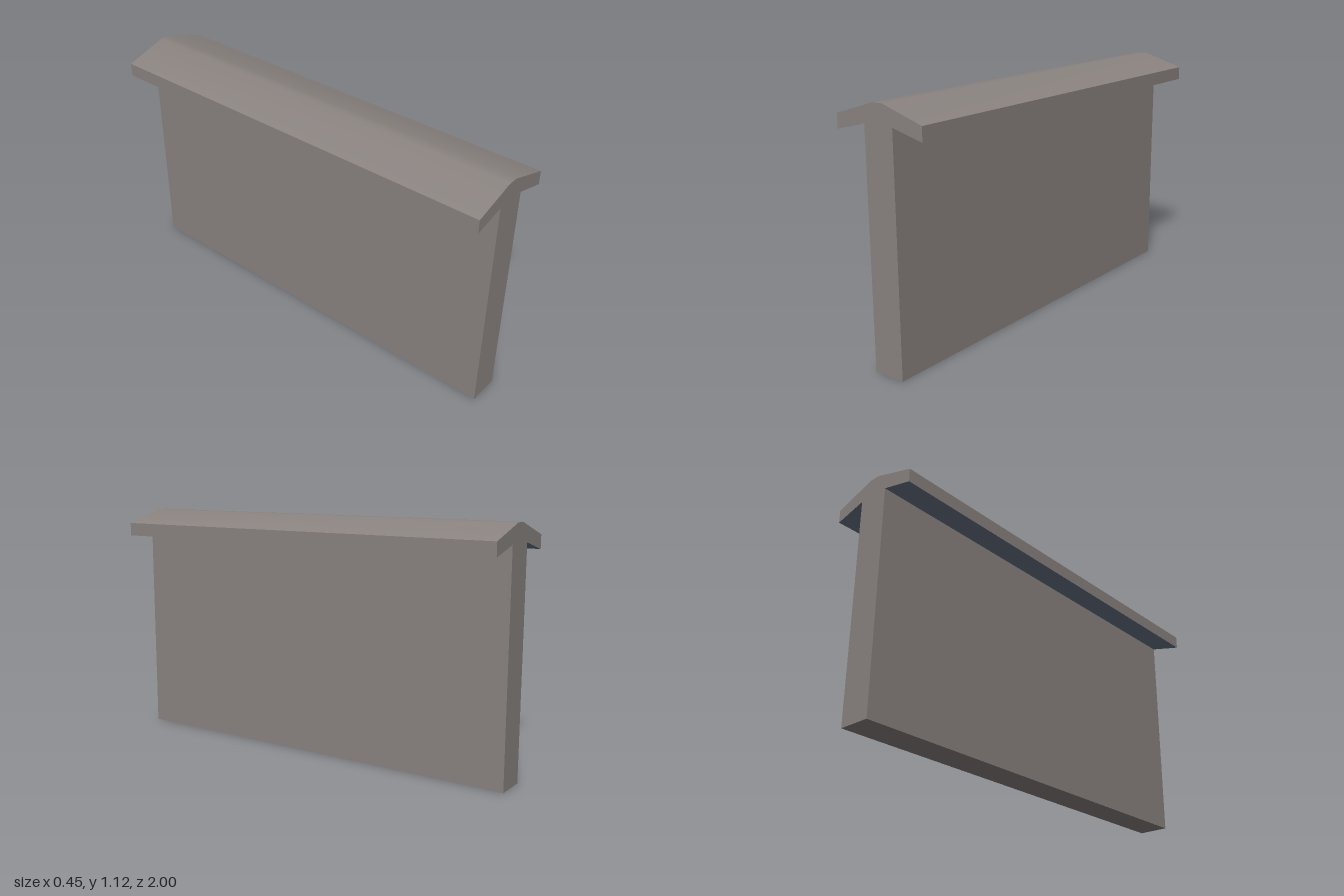
import * as THREE from 'three';
import { toCreasedNormals } from 'three/addons/utils/BufferGeometryUtils.js';

const LENGTH = 2;
const WALL_HALF = 0.074;
const WALL_TOP = 1.038;

export function createModel() {
  const stone = new THREE.MeshStandardMaterial({ name: 'warm grey stone', color: 0x8a8380 });
  const slate = new THREE.MeshStandardMaterial({ name: 'blue grey underside', color: 0x6a7688 });
  const group = new THREE.Group();
  group.name = 'cappedWall';

  // Upright wall slab
  const wall = new THREE.Mesh(new THREE.BoxGeometry(WALL_HALF * 2, WALL_TOP, LENGTH), stone);
  wall.name = 'wall';
  wall.position.y = WALL_TOP / 2;
  group.add(wall);

  // Sloping cap: half profile from the underside to the ridge, mirrored
  const half = [[WALL_HALF, WALL_TOP], [0.225, 1.0], [0.225, 1.0625], [0.025, 1.125]];
  const mirrored = half.map(([x, y]) => [-x, y]).reverse();
  const profile = new THREE.Shape([...half, ...mirrored].map(([x, y]) => new THREE.Vector2(x, y)));
  const extruded = new THREE.ExtrudeGeometry(profile, { depth: LENGTH, bevelEnabled: false });
  extruded.translate(0, 0, -LENGTH / 2);
  const capGeometry = toCreasedNormals(extruded, Math.PI / 6);

  // Faces that look down take the underside colour
  capGeometry.clearGroups();
  const normals = capGeometry.attributes.normal;
  for (let i = 0; i < normals.count; i += 3) {
    capGeometry.addGroup(i, 3, normals.getY(i) < -0.5 ? 1 : 0);
  }
  const cap = new THREE.Mesh(capGeometry, [stone, slate]);
  cap.name = 'cap';
  group.add(cap);

  return group;
}
